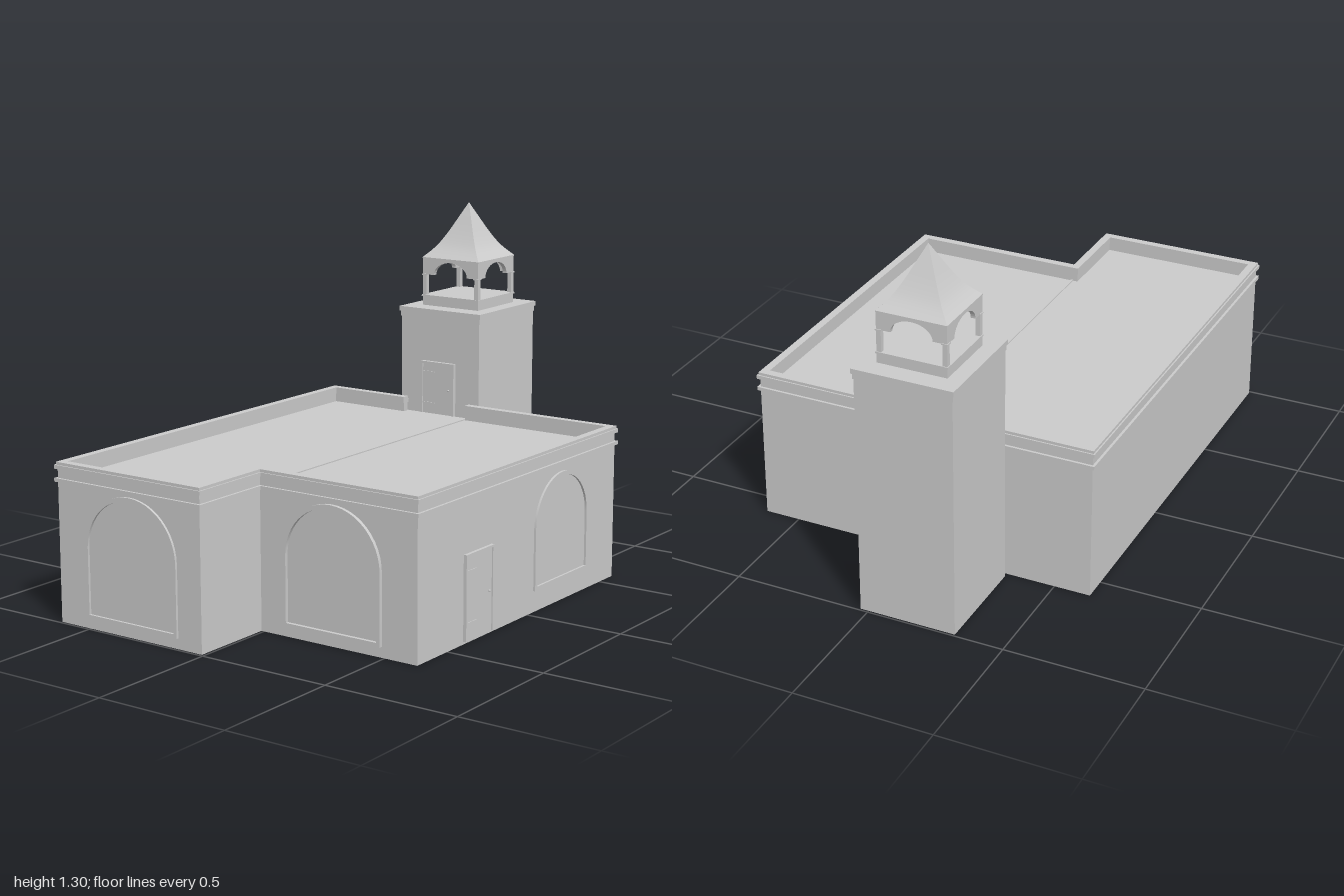
import * as THREE from 'three';
import { toCreasedNormals } from 'three/addons/utils/BufferGeometryUtils.js';

const material = new THREE.MeshStandardMaterial({ color: 0xcccccc });

function add(parent, name, geometry) {
  const mesh = new THREE.Mesh(geometry, material);
  mesh.name = name;
  parent.add(mesh);
  return mesh;
}

// Box given by its limits
function box(parent, name, x0, x1, y0, y1, z0, z1) {
  const mesh = add(parent, name, new THREE.BoxGeometry(x1 - x0, y1 - y0, z1 - z0));
  mesh.position.set((x0 + x1) / 2, (y0 + y1) / 2, (z0 + z1) / 2);
  return mesh;
}

// L-shaped footprint, grown outwards by d
const footprint = (d) => [
  [0.59 + d, -0.632 - d], [-0.991 - d, -0.632 - d], [-0.991 - d, -0.01 + d],
  [-0.675 - d, -0.01 + d], [-0.675 - d, 0.63 + d], [0.59 + d, 0.63 + d],
];

// Plan outline (x, z) raised from y0 to y1
function slab(parent, name, outline, y0, y1) {
  const shape = new THREE.Shape(outline.map(([x, z]) => new THREE.Vector2(x, -z)));
  const geometry = new THREE.ExtrudeGeometry(shape, { depth: y1 - y0, bevelEnabled: false });
  geometry.rotateX(-Math.PI / 2).translate(0, y0, 0);
  return add(parent, name, geometry);
}

// Band along the roof edge, left open beside the tower door
function edgeBand(parent, name, outer, inner, y0, y1) {
  const run = (d) => [[0.59 + d, -0.285], ...footprint(d), [0.59 + d, -0.005]];
  slab(parent, name, [...run(outer), ...run(inner).reverse()], y0, y1);
}

// Round-topped outline standing on y = 0
function archPath(target, w, h, inset) {
  const r = w / 2 - inset;
  target.moveTo(-r, inset);
  target.lineTo(r, inset);
  target.lineTo(r, h - w / 2);
  target.absarc(0, h - w / 2, r, 0, Math.PI, false);
  target.lineTo(-r, inset);
  return target;
}

// Raised arched frame facing +z before it is turned
function archedWindow(parent, name, w, h, depth) {
  const shape = archPath(new THREE.Shape(), w, h, 0);
  shape.holes.push(archPath(new THREE.Path(), w, h, 0.014));
  const geometry = new THREE.ExtrudeGeometry(shape, { depth, bevelEnabled: false, curveSegments: 12 });
  return add(parent, name, toCreasedNormals(geometry, 0.6));
}

// Door with frame, hinges and knob, facing +z before it is turned
function door(name, w, h, depth) {
  const group = new THREE.Group();
  group.name = name;
  const f = 0.008;
  box(group, 'doorLeaf', -w / 2, w / 2, 0, h, 0, depth * 0.6);
  for (const s of [-1, 1]) {
    const x = s * (w / 2 - f / 2);
    box(group, 'doorJamb', x - f / 2, x + f / 2, 0, h, 0, depth);
  }
  box(group, 'doorLintel', -w / 2, w / 2, h - f, h, 0, depth);
  for (const t of [0.2, 0.8]) {
    box(group, 'hinge', -w / 2 + f, -w / 2 + w * 0.4, h * t - 0.003, h * t + 0.003, 0, depth * 0.8);
  }
  const knob = add(group, 'doorKnob', new THREE.SphereGeometry(0.004, 10, 8));
  knob.position.set(w / 2 - 0.025, h * 0.48, depth * 0.8);
  return group;
}

function createHall() {
  const hall = new THREE.Group();
  hall.name = 'hall';
  slab(hall, 'walls', footprint(0), 0, 0.497);
  slab(hall, 'roofLedge', footprint(0.009), 0.497, 0.51);
  edgeBand(hall, 'parapet', 0, -0.022, 0.51, 0.542);
  edgeBand(hall, 'parapetCornice', 0.009, -0.025, 0.542, 0.556);
  edgeBand(hall, 'parapetCap', 0.004, -0.025, 0.556, 0.566);
  box(hall, 'roofSeam', -0.66, 0.59, 0.51, 0.514, -0.014, -0.006);

  const frontDoor = door('frontDoor', 0.17, 0.3, 0.012);
  frontDoor.position.set(-0.32, 0.01, 0.63);
  hall.add(frontDoor);

  archedWindow(hall, 'frontWindow', 0.36, 0.395, 0.008).position.set(0.218, 0.077, 0.63);
  // Right-hand windows, one on each wing
  for (const [x, z, depth] of [[-0.675, 0.29, 0.013], [-0.991, -0.31, 0.009]]) {
    const window = archedWindow(hall, 'sideWindow', 0.4, 0.45, depth);
    window.position.set(x, 0.038, z);
    window.rotation.y = -Math.PI / 2;
  }
  return hall;
}

function createBelfry() {
  const belfry = new THREE.Group();
  belfry.name = 'belfry';
  const r = 0.126, t = 0.017;
  box(belfry, 'belfryBase', -r, r, 0.913, 0.947, -r, r);
  box(belfry, 'belfrySill', -r - 0.003, r + 0.003, 0.947, 0.953, -r - 0.003, r + 0.003);

  // Corner posts with small capitals
  for (const sx of [-1, 1]) for (const sz of [-1, 1]) {
    const x = sx * (r - t / 2), z = sz * (r - t / 2);
    box(belfry, 'belfryPost', x - t / 2, x + t / 2, 0.953, 1.03, z - t / 2, z + t / 2);
    const c = t / 2 + 0.003;
    box(belfry, 'postCapital', x - c, x + c, 1.029, 1.034, z - c, z + c);
  }

  // Arched panel on each side
  const shape = new THREE.Shape();
  shape.moveTo(-r, 1.032);
  shape.lineTo(-0.075, 1.032);
  shape.absellipse(0, 1.032, 0.075, 0.052, Math.PI, 0, true);
  shape.lineTo(r, 1.032);
  shape.lineTo(r, 1.095);
  shape.lineTo(-r, 1.095);
  const panel = toCreasedNormals(
    new THREE.ExtrudeGeometry(shape, { depth: t, bevelEnabled: false, curveSegments: 16 })
      .translate(0, 0, r - t), 0.6);
  for (let i = 0; i < 4; i++) add(belfry, 'belfryArch', panel).rotation.y = i * Math.PI / 2;

  // Flared four-sided spire
  const curve = new THREE.SplineCurve([
    [0.127, 1.098], [0.09, 1.138], [0.059, 1.188], [0.03, 1.245], [0, 1.305],
  ].map(([x, y]) => new THREE.Vector2(x, y)));
  const profile = [[0, 1.093], [0.127, 1.093], ...curve.getPoints(12).map((p) => [p.x, p.y])]
    .map(([x, y]) => new THREE.Vector2(Math.max(0, x) * Math.SQRT2, y));
  add(belfry, 'spire', toCreasedNormals(new THREE.LatheGeometry(profile, 4, Math.PI / 4), 0.5));

  belfry.position.set(0.8, 0, -0.146);
  return belfry;
}

function createTower() {
  const tower = new THREE.Group();
  tower.name = 'tower';
  const tier = (name, d, y0, y1) => box(tower, name, 0.607 - d, 0.992 + d, y0, y1, -0.322 - d, 0.03 + d);
  tier('towerShaft', 0, 0, 0.875);
  tier('towerMoulding', 0.003, 0.875, 0.895);
  tier('towerCap', 0.007, 0.895, 0.913);

  // Door out to the hall roof
  const roofDoor = door('roofDoor', 0.15, 0.202, 0.015);
  roofDoor.position.set(0.607, 0.51, -0.15);
  roofDoor.rotation.y = -Math.PI / 2;
  tower.add(roofDoor, createBelfry());
  return tower;
}

export function createModel() {
  const model = new THREE.Group();
  model.name = 'hallWithBellTower';
  model.add(createHall(), createTower());
  return model;
}
